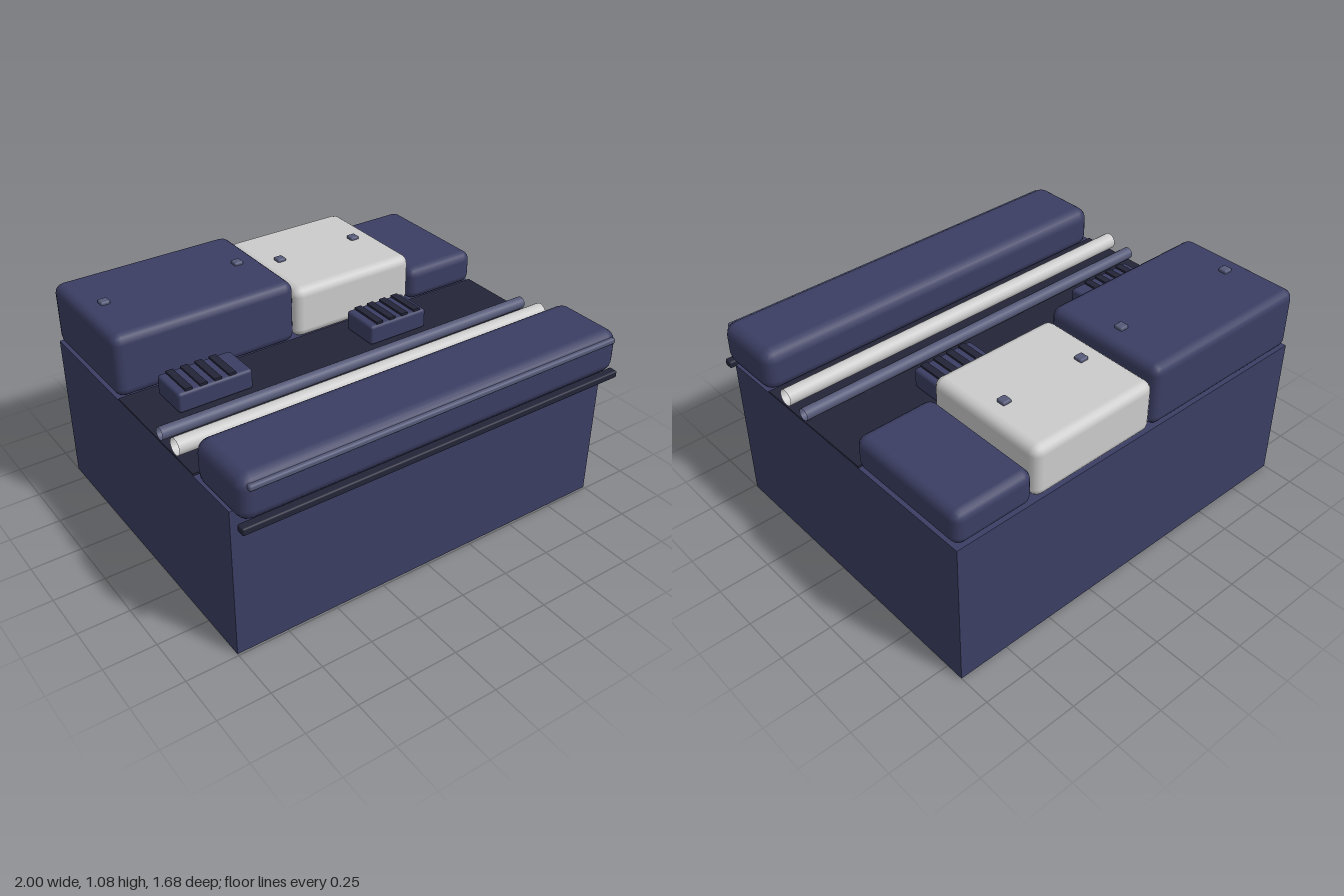
import * as THREE from 'three';
import { RoundedBoxGeometry } from 'three/addons/geometries/RoundedBoxGeometry.js';

const mat = (color, side = THREE.FrontSide) => new THREE.MeshStandardMaterial({ color, side });
const navy = mat(0x3b3e63);
const dark = mat(0x232538);
const slate = mat(0x565a78);
const grey = mat(0xcccccc);

export function createModel() {
  const root = new THREE.Group();

  const add = (name, geometry, material, x, y, z, parent = root) => {
    const mesh = new THREE.Mesh(geometry, material);
    mesh.name = name;
    mesh.position.set(x, y, z);
    parent.add(mesh);
    return mesh;
  };

  // Box given by its min and max on each axis; rounded when r > 0
  const box = (name, material, [x0, x1], [y0, y1], [z0, z1], r = 0, parent = root) => {
    const s = [x1 - x0, y1 - y0, z1 - z0];
    const geometry = r ? new RoundedBoxGeometry(...s, 2, r) : new THREE.BoxGeometry(...s);
    return add(name, geometry, material, (x0 + x1) / 2, (y0 + y1) / 2, (z0 + z1) / 2, parent);
  };

  // Base and the dark deck between the raised parts
  box('base', navy, [-1, 1], [0, 0.75], [-0.84, 0.74]);
  box('deck', dark, [-1, 1], [0.745, 0.76], [-0.21, 0.46]);

  // Front bolster with its trim strip and lower rail
  box('frontBolster', navy, [-0.995, 0.995], [0.725, 0.94], [0.46, 0.83], 0.06);
  box('trimStrip', slate, [-0.96, 0.96], [0.886, 0.914], [0.81, 0.838], 0.01);
  box('lowerRail', dark, [-1, 1], [0.695, 0.73], [0.795, 0.84], 0.008);

  // Open pipes lying across the deck
  for (const [name, r, y, z, color] of [
    ['largePipe', 0.04, 0.808, 0.315, 0xcccccc],
    ['smallPipe', 0.03, 0.795, 0.18, 0x565a78],
  ]) {
    const geometry = new THREE.CylinderGeometry(r, r, 2, 16, 1, true).rotateZ(Math.PI / 2);
    add(name, geometry, mat(color, THREE.DoubleSide), 0, y, z);
  }

  // Stepped rear blocks with small studs on top
  for (const [name, material, x0, x1, top, studs] of [
    ['tallBlock', navy, -1, -0.077, 1.06, [-0.885, -0.195]],
    ['middleBlock', grey, -0.073, 0.598, 1.01, [0.045, 0.48]],
    ['lowBlock', navy, 0.602, 1, 0.92, []],
  ]) {
    const group = new THREE.Group();
    group.name = name;
    root.add(group);
    box(name + 'Body', material, [x0, x1], [0.75, top], [-0.84, -0.2], 0.045, group);
    for (const x of studs) {
      box('stud', slate, [x - 0.023, x + 0.023], [top - 0.015, top + 0.015], [-0.546, -0.5], 0.008, group);
    }
  }

  // Vent boxes with dark slats
  for (const [x0, x1] of [[-0.84, -0.47], [0.175, 0.497]]) {
    const vent = new THREE.Group();
    vent.name = 'vent';
    root.add(vent);
    box('ventBody', navy, [x0, x1], [0.76, 0.86], [-0.143, 0.057], 0.015, vent);
    for (let i = 0; i < 4; i++) {
      const x = x0 + 0.057 + i * 0.072;
      box('ventSlat', dark, [x - 0.018, x + 0.018], [0.85, 0.87], [-0.133, 0.047], 0, vent);
    }
  }

  return root;
}
